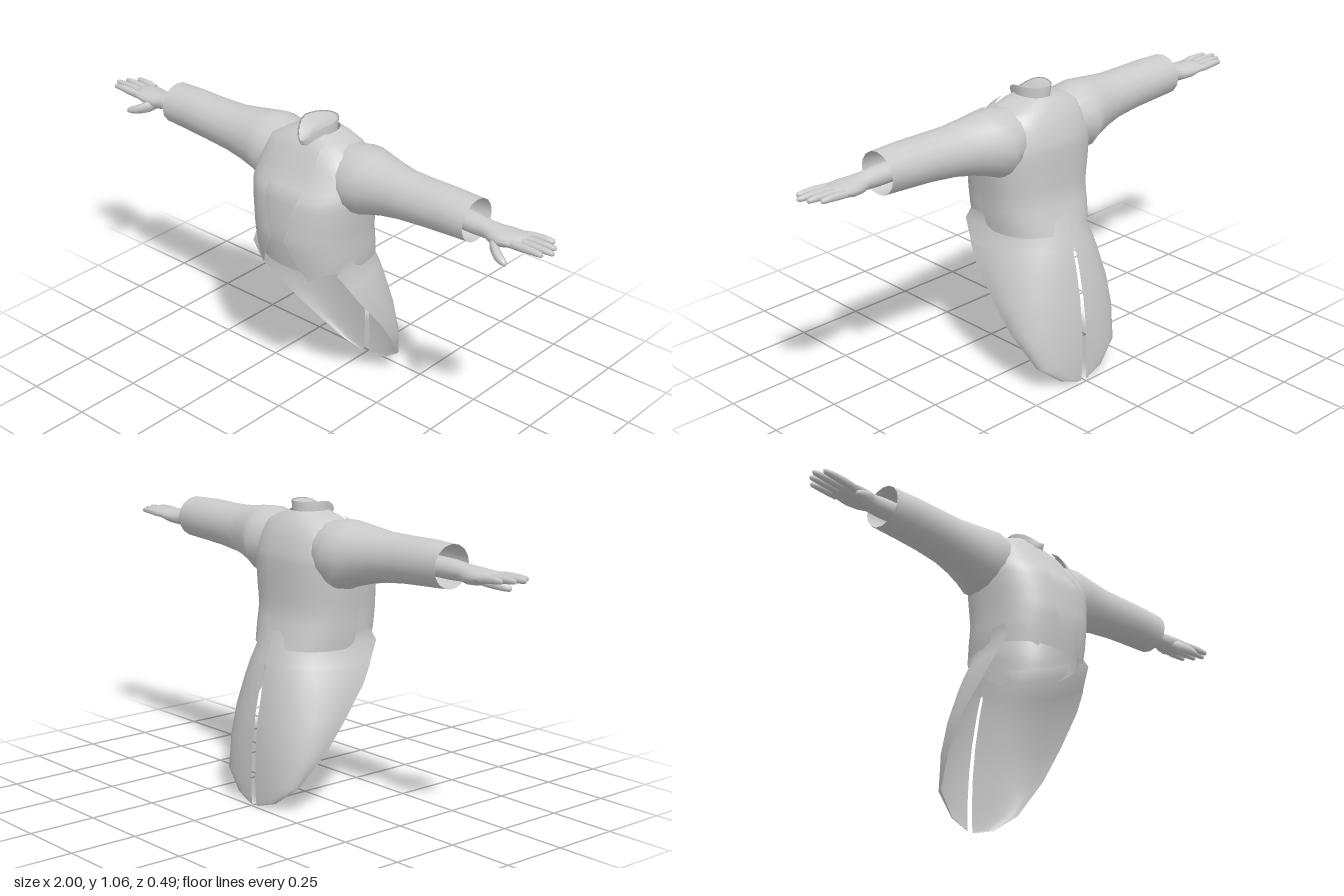
import * as THREE from 'three';
import { mergeVertices } from 'three/addons/utils/BufferGeometryUtils.js';

const grey = new THREE.MeshStandardMaterial({ color: 0xcccccc, side: THREE.DoubleSide });

// Smooth surface from a grid of points; fn(u, v) returns [x, y, z].
function surface(name, fn, nu, nv) {
  const pos = [], idx = [];
  for (let j = 0; j <= nv; j++)
    for (let i = 0; i <= nu; i++) pos.push(...fn(i / nu, j / nv));
  for (let j = 0; j < nv; j++)
    for (let i = 0; i < nu; i++) {
      const a = j * (nu + 1) + i, b = a + 1, d = a + nu + 1, c = d + 1;
      idx.push(a, b, c, a, c, d);
    }
  let geo = new THREE.BufferGeometry();
  geo.setAttribute('position', new THREE.Float32BufferAttribute(pos, 3));
  geo.setIndex(idx);
  geo = mergeVertices(geo, 1e-5);
  geo.computeVertexNormals();
  const mesh = new THREE.Mesh(geo, grey);
  mesh.name = name;
  return mesh;
}

// Linear lookup in rows sorted by their first value.
function lookup(rows, t) {
  let i = 0;
  while (i < rows.length - 2 && t > rows[i + 1][0]) i++;
  const k = (t - rows[i][0]) / (rows[i + 1][0] - rows[i][0]);
  return rows[i].map((a, n) => a + (rows[i + 1][n] - a) * k);
}

// Loft along x through elliptical rings [x, yCentre, zCentre, halfHeight, halfDepth].
function loft(name, rings, sides) {
  return surface(name, (u, v) => {
    const [x, y, z, h, d] = rings[Math.round(v * (rings.length - 1))];
    const a = u * Math.PI * 2;
    return [x, y + h * Math.cos(a), z + d * Math.sin(a)];
  }, sides, rings.length - 1);
}

// Tapered round finger through points [x, y, z, radius].
const digit = (name, pts) => loft(name, pts.map(([x, y, z, r]) => [x, y, z, r, r]), 8);

// Torso profile: height, half width, front z, back z.
const TORSO = [
  [0.54, 0.188, 0.2, -0.16], [0.565, 0.19, 0.205, -0.158], [0.62, 0.198, 0.215, -0.143],
  [0.69, 0.202, 0.224, -0.126], [0.78, 0.215, 0.217, -0.126], [0.845, 0.222, 0.207, -0.127],
  [0.89, 0.22, 0.175, -0.125], [0.95, 0.205, 0.142, -0.108], [0.99, 0.175, 0.12, -0.088],
  [1.015, 0.12, 0.1, -0.07], [1.035, 0.062, 0.075, -0.05],
];
const POWER = 2.4;
const round = (s) => Math.sign(s) * Math.abs(s) ** (2 / POWER);
function torsoPoint(angle, y, offset = 0) {
  const [, w, front, back] = lookup(TORSO, y);
  const c = round(Math.cos(angle)), zc = 0.035;
  return [w * round(Math.sin(angle)) + offset * Math.sin(angle) * 0.4, y,
    zc + c * (c > 0 ? front - zc : zc - back) + offset * Math.cos(angle)];
}

function createTorso() {
  return surface('torso', (u, v) => {
    const t = v * (TORSO.length - 2) + 1, i = Math.min(Math.floor(t), TORSO.length - 2);
    return torsoPoint(u * Math.PI * 2, THREE.MathUtils.lerp(TORSO[i][0], TORSO[i + 1][0], t - i));
  }, 40, (TORSO.length - 2) * 2);
}

// Coat front: inner edge (t, x, y) follows lapel and cutaway, outer edge the side seam.
const COAT_EDGE = [
  [0, 0.1, 0.545], [0.15, 0.065, 0.617], [0.3, 0.028, 0.69], [0.5, 0.05, 0.78],
  [0.65, 0.07, 0.85], [0.75, 0.08, 0.91], [0.87, 0.086, 0.97], [1, 0.075, 1.022],
];
function createCoatFront() {
  return surface('coatFront', (u, v) => {
    const [, x, y] = lookup(COAT_EDGE, v);
    const s = Math.min(1, x / lookup(TORSO, y)[1]);
    const inner = Math.asin(s ** (POWER / 2));
    const angle = THREE.MathUtils.lerp(inner, 1.42, u);
    const outerY = THREE.MathUtils.lerp(0.62, 1.0, v);
    return torsoPoint(angle, THREE.MathUtils.lerp(y, outerY, u), 0.02 * (1 - u ** 3) + 0.002);
  }, 12, 20);
}

// Coat tail: height, back z, free edge x, free edge z.
const TAIL = [
  [0.005, -0.235, 0.02, -0.235], [0.03, -0.238, 0.1, -0.222], [0.1, -0.24, 0.188, -0.188],
  [0.22, -0.235, 0.23, -0.1], [0.33, -0.222, 0.24, -0.02], [0.44, -0.2, 0.232, 0.07],
  [0.5, -0.184, 0.22, 0.11], [0.51, -0.181, 0.217, 0.115], [0.58, -0.158, 0.198, 0.16],
  [0.625, -0.143, 0.2, 0.13],
];
function createTail() {
  return surface('coatTail', (u, v) => {
    const [y, back, x, z] = TAIL[Math.round(v * (TAIL.length - 1))];
    const slit = y > 0.505 ? 0 : 0.006 + 0.012 * (0.5 - y);
    const a = (1 - u) * Math.PI / 2;
    return [slit + (x - slit) * Math.sin(a) ** 0.85, y,
      back + (z - back) * (1 - Math.cos(a) ** 0.9)];
  }, 14, TAIL.length - 1);
}

// Shirt collar: pointed at the front, with a slightly sunken top.
function createCollar() {
  const rows = [[0.9, 0], [1, 1], [0.9, 0.95], [0, 0.7]];
  return surface('collar', (u, v) => {
    const [r, lift] = rows[Math.round(v * 3)];
    const a = u * Math.PI * 2, c = Math.cos(a), f = Math.max(0, c);
    const top = 1.068 - 0.05 * f * f;
    const x = 0.062 * Math.sin(a) * (1 - 0.25 * f);
    const z = 0.035 + c * (c > 0 ? 0.09 : 0.082);
    const y = r === 0 ? 1.052 : THREE.MathUtils.lerp(1.0, top, lift);
    return [x * r, y, r === 0 ? 0.035 : 0.035 + (z - 0.035) * r];
  }, 24, 3);
}

function createArm() {
  const arm = new THREE.Group();
  arm.add(loft('sleeve', [
    [0.06, 0.92, 0.02, 0.085, 0.08], [0.13, 0.907, 0.02, 0.104, 0.11],
    [0.2, 0.9, 0.02, 0.124, 0.128], [0.25, 0.907, 0.025, 0.112, 0.113],
    [0.31, 0.912, 0.03, 0.099, 0.099], [0.38, 0.915, 0.035, 0.088, 0.088],
    [0.48, 0.92, 0.038, 0.082, 0.084], [0.58, 0.924, 0.038, 0.08, 0.081],
    [0.685, 0.925, 0.038, 0.075, 0.079],
  ], 16));
  arm.add(loft('cuffLining', [
    [0.5, 0.92, 0.04, 0.03, 0.03], [0.6, 0.923, 0.04, 0.062, 0.066],
    [0.685, 0.925, 0.038, 0.075, 0.079],
  ], 16));
  // Wrist and palm in one loft
  arm.add(loft('hand', [
    [0.58, 0.918, 0.042, 0.036, 0.038], [0.69, 0.916, 0.042, 0.035, 0.038],
    [0.74, 0.914, 0.043, 0.031, 0.034], [0.77, 0.91, 0.044, 0.031, 0.046],
    [0.81, 0.911, 0.042, 0.028, 0.055], [0.85, 0.916, 0.039, 0.02, 0.055],
    [0.875, 0.917, 0.037, 0.014, 0.05], [0.885, 0.917, 0.037, 0, 0],
  ], 14));
  // Fingers from little finger to index: base z, tip z, tip x
  [[-0.004, -0.013, 0.955], [0.024, 0.02, 0.985], [0.051, 0.052, 1.0], [0.078, 0.083, 0.978]]
    .forEach(([z0, z1, tip], i) => {
      const x0 = 0.85, n = [0, 0.35, 0.7, 0.93, 1], r = [0.014, 0.0145, 0.012, 0.009, 0];
      arm.add(digit('finger' + (i + 1), n.map((t, k) => [
        x0 + (tip - x0) * t, 0.916 + 0.006 * Math.sin(t * 2), z0 + (z1 - z0) * t, r[k]])));
    });
  arm.add(digit('thumb', [
    [0.76, 0.903, 0.06, 0.012], [0.79, 0.892, 0.085, 0.023], [0.82, 0.88, 0.108, 0.019],
    [0.845, 0.873, 0.118, 0.015], [0.862, 0.869, 0.122, 0.01], [0.87, 0.868, 0.123, 0],
  ]));
  return arm;
}

export function createModel() {
  const model = new THREE.Group();
  model.name = 'tailcoatFigure';
  model.add(createTorso(), createCollar());
  // Left side, then its mirror image
  for (const [side, sign] of [['left', 1], ['right', -1]]) {
    const half = new THREE.Group();
    half.name = side + 'Side';
    const arm = createArm();
    arm.name = side + 'Arm';
    half.add(arm, createCoatFront(), createTail());
    half.scale.x = sign;
    model.add(half);
  }
  return model;
}
